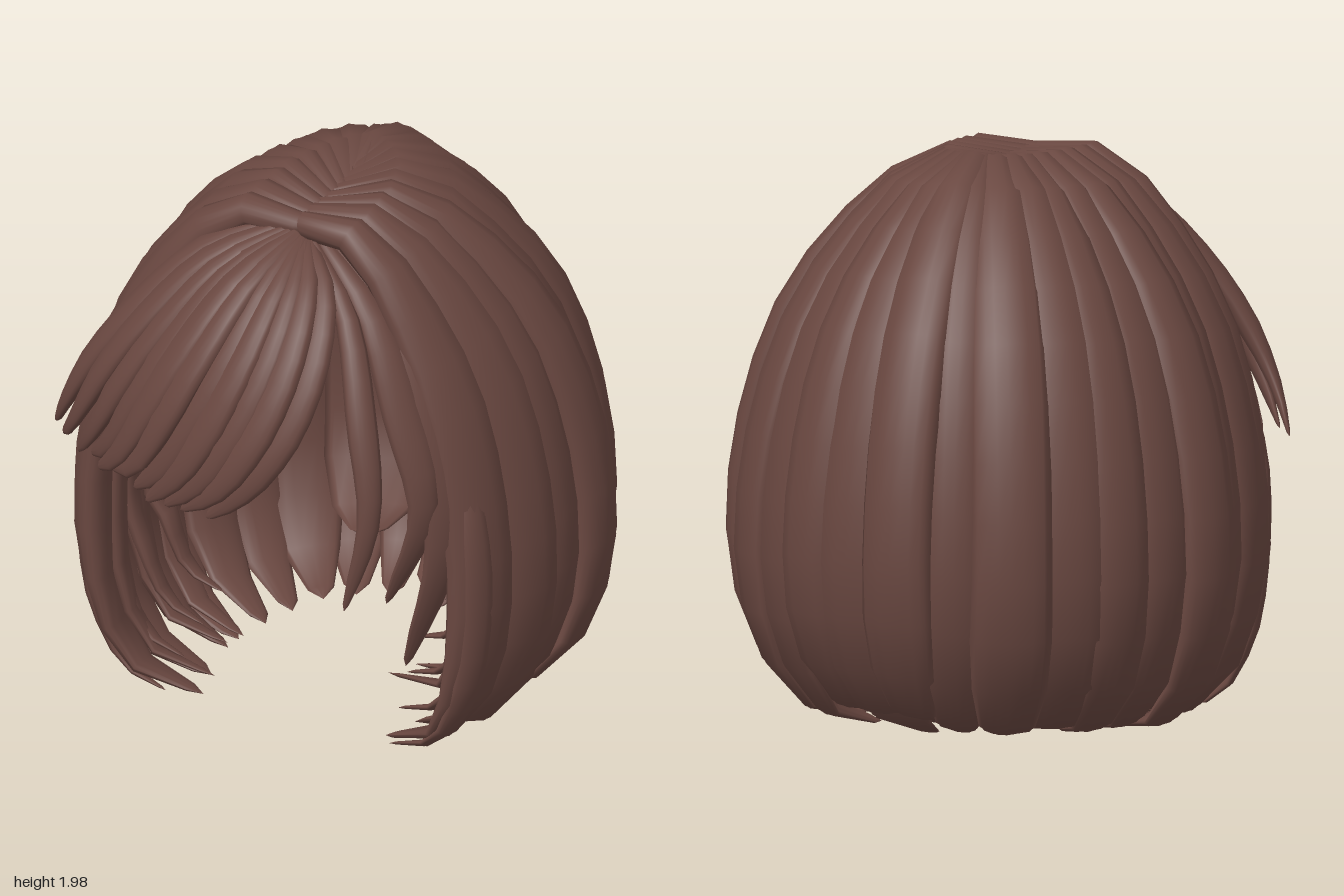
import * as THREE from 'three';

const V = (x, y, z) => new THREE.Vector3(x, y, z);
const hair = new THREE.MeshStandardMaterial({ color: 0x694740 });
hair.name = 'darkBrownHair';

const SIDES = 20;
const hash = (i) => { const s = Math.sin(i * 12.9898 + 4.1) * 43758.5453; return s - Math.floor(s); };

// A flattened lock swept along a path, facing away from the head's centre.
// sharp = fraction of the length over which the end narrows, roll = sideways tilt of the section.
function lock(name, points, width, thick, { root = 0.3, sharp = 0.1, roll = 0, centre = V(0, 0.95, 0), steps = 15 } = {}) {
  const curve = new THREE.CatmullRomCurve3(points, false, 'centripetal');
  const pos = [], idx = [];
  for (let i = 0; i <= steps; i++) {
    const t = i === 0 ? 0 : i === steps ? 1 : 0.02 + 0.96 * (i - 1) / (steps - 2);
    const p = curve.getPointAt(t), T = curve.getTangentAt(t);
    const N = p.clone().sub(centre);
    N.addScaledVector(T, -N.dot(T)).normalize().applyAxisAngle(T, roll);
    const B = T.clone().cross(N);
    const end = Math.min(1, (1 - t) / sharp);
    const grow = root + (1 - root) * Math.sin(Math.min(1, t / 0.5) * Math.PI / 2);
    const closed = i === 0 || i === steps ? 0.01 : 1;
    const w = width * grow * Math.sqrt(end) * closed;
    const h = thick * (0.7 + 0.3 * grow) * Math.min(1, 0.12 + (1 - t) / 0.35) * closed;
    for (let j = 0; j < SIDES; j++) {
      const a = j / SIDES * Math.PI * 2, r = j % 2 ? 0.95 : 1.04; // fine strand ridges
      const q = p.clone().addScaledVector(B, Math.cos(a) * w * r).addScaledVector(N, Math.sin(a) * h * r);
      pos.push(q.x, q.y, q.z);
      if (i < steps) {
        const A = i * SIDES + j, b = i * SIDES + (j + 1) % SIDES;
        idx.push(A, A + SIDES, b, b, A + SIDES, b + SIDES);
      }
    }
  }
  const g = new THREE.BufferGeometry();
  g.setAttribute('position', new THREE.Float32BufferAttribute(pos, 3));
  g.setIndex(idx);
  g.computeVertexNormals();
  const m = new THREE.Mesh(g, hair);
  m.name = name;
  return m;
}

// Outline of the bob seen from above: left front, round the back, right front
const outline = new THREE.CatmullRomCurve3([
  [0.74, 0.35], [0.77, 0.15], [0.82, -0.18], [0.7, -0.42], [0.55, -0.63], [0.28, -0.78], [0, -0.87],
  [-0.3, -0.81], [-0.55, -0.65], [-0.68, -0.45], [-0.82, -0.17], [-0.79, 0.15], [-0.73, 0.45],
].map(([x, z]) => V(x, 0, z)));

// Fall of a lock as [reach from root to outline, height]
const sideFall = [[0, 1.86], [0.22, 1.9], [0.42, 1.83], [0.62, 1.66], [0.84, 1.37], [0.97, 1.0], [1.01, 0.68], [0.97, 0.35], [0.83, 0.1], [0.5, 0.01]];
const backFall = [[0, 1.86], [0.2, 1.94], [0.36, 1.91], [0.54, 1.78], [0.76, 1.54], [0.92, 1.2], [1, 0.75], [0.97, 0.4], [0.83, 0.16], [0.6, 0.07]];

function fallPoints(t, scale, lift) {
  const end = outline.getPointAt(t);
  const s = Math.abs(2 * t - 1);
  // Roots cross the parting slightly so both sides interlock
  const root = V(0.06 + Math.sign(2 * t - 1) * 0.035, 0, 0.1 + 0.29 * s * s);
  return sideFall.map(([f, y], k) => {
    const reach = THREE.MathUtils.lerp(backFall[k][0], f, s) * (k > 2 ? scale : 1);
    const p = root.clone().lerp(end, reach);
    p.y = THREE.MathUtils.lerp(backFall[k][1], y, s) + lift * (k / 9) ** 3 - (scale < 0.95 ? 0.05 : 0);
    return p;
  });
}

export function createModel() {
  const group = new THREE.Group();
  group.name = 'bobHair';

  // Outer locks
  const count = 19;
  for (let i = 0; i < count; i++) {
    const t = i / (count - 1);
    const inset = i % 2 ? 1.02 : 0.985;
    group.add(lock('outerLock', fallPoints(t, inset, 0.07 * hash(i) - 0.01), 0.112 + 0.025 * hash(i + 40), 0.064,
      { sharp: 0.2, roll: 0.3 * (hash(i + 60) - 0.5) }));
  }

  // Inner locks: thin layers at the sides and two pads at the back
  for (const t of [0.02, 0.08, 0.15, 0.85, 0.92, 0.98]) {
    group.add(lock('innerSideLock', fallPoints(t, 0.92, 0.08 + 0.25 * hash(t * 100)), 0.08, 0.04, { sharp: 0.25 }));
  }
  group.add(lock('innerBackPad', fallPoints(0.59, 0.9, 0.32), 0.17, 0.05, { sharp: 0.15 }));
  group.add(lock('innerBackPad', fallPoints(0.47, 0.92, 0.04), 0.14, 0.05, { sharp: 0.15 }));

  // Slim curled tips beside the face
  for (const s of [1, -1]) {
    for (let i = 0; i < 4; i++) {
      const z = 0.4 - i * 0.09 + (s < 0 ? 0.06 : 0), y = 0.03 + i * 0.09, x = s * (0.74 - i * 0.035);
      group.add(lock('curledTip', [
        V(x * 0.85, 1.3, z * 0.9), V(x, 0.95, z), V(x * 1.02, 0.6, z), V(x * 0.95, y + 0.25, z),
        V(x * 0.8, y + 0.05, z), V(x * 0.57, y, z + 0.02),
      ], 0.06, 0.03, { sharp: 0.3 }));
    }
  }

  // Swept fringe, blended between three guide paths, each lock tilted over the next
  const guides = [
    [V(0.09, 1.83, 0.4), V(0.25, 1.72, 0.58), V(0.29, 1.48, 0.76), V(0.21, 1.23, 0.86), V(0.12, 1.1, 0.88), V(-0.03, 0.97, 0.87)],
    [V(0.07, 1.85, 0.4), V(0.0, 1.74, 0.64), V(-0.1, 1.49, 0.82), V(-0.23, 1.2, 0.88), V(-0.31, 1.08, 0.87), V(-0.43, 0.95, 0.81)],
    [V(0.03, 1.88, 0.38), V(-0.25, 1.76, 0.5), V(-0.5, 1.47, 0.63), V(-0.67, 1.2, 0.65), V(-0.74, 1.08, 0.62), V(-0.83, 0.95, 0.52)],
  ];
  const bangs = 11;
  for (let i = 0; i < bangs; i++) {
    const u = i / (bangs - 1);
    const out = 0.97 + 0.05 * hash(i + 81);
    const pts = guides[0].map((p, k) => p.clone().multiplyScalar((1 - u) * (1 - 2 * u))
      .addScaledVector(guides[1][k], 4 * u * (1 - u))
      .addScaledVector(guides[2][k], u * (2 * u - 1))
      .multiply(V(k ? out : 1, 1, k ? out : 1)));
    pts[5].y += 0.09 * hash(i + 20) - 0.02;
    group.add(lock('fringeLock', pts, 0.075, 0.038, { sharp: 0.4, roll: 0.4, centre: V(0, 1.2, 0) }));
  }

  // Loose locks on the left of the fringe
  const loose = [
    [V(0.1, 1.84, 0.4), V(0.32, 1.66, 0.53), V(0.46, 1.35, 0.66), V(0.52, 1.02, 0.71), V(0.44, 0.67, 0.74)],
    [V(0.12, 1.84, 0.38), V(0.38, 1.65, 0.47), V(0.53, 1.35, 0.52), V(0.62, 1.0, 0.52), V(0.46, 0.6, 0.5)],
    [V(0.12, 1.84, 0.36), V(0.42, 1.63, 0.42), V(0.6, 1.3, 0.45), V(0.66, 0.85, 0.46), V(0.5, 0.35, 0.44)],
  ];
  loose.forEach((pts, i) => group.add(lock('looseLock', pts, 0.05 + 0.015 * i, 0.03, { sharp: 0.45 })));
  return group;
}
